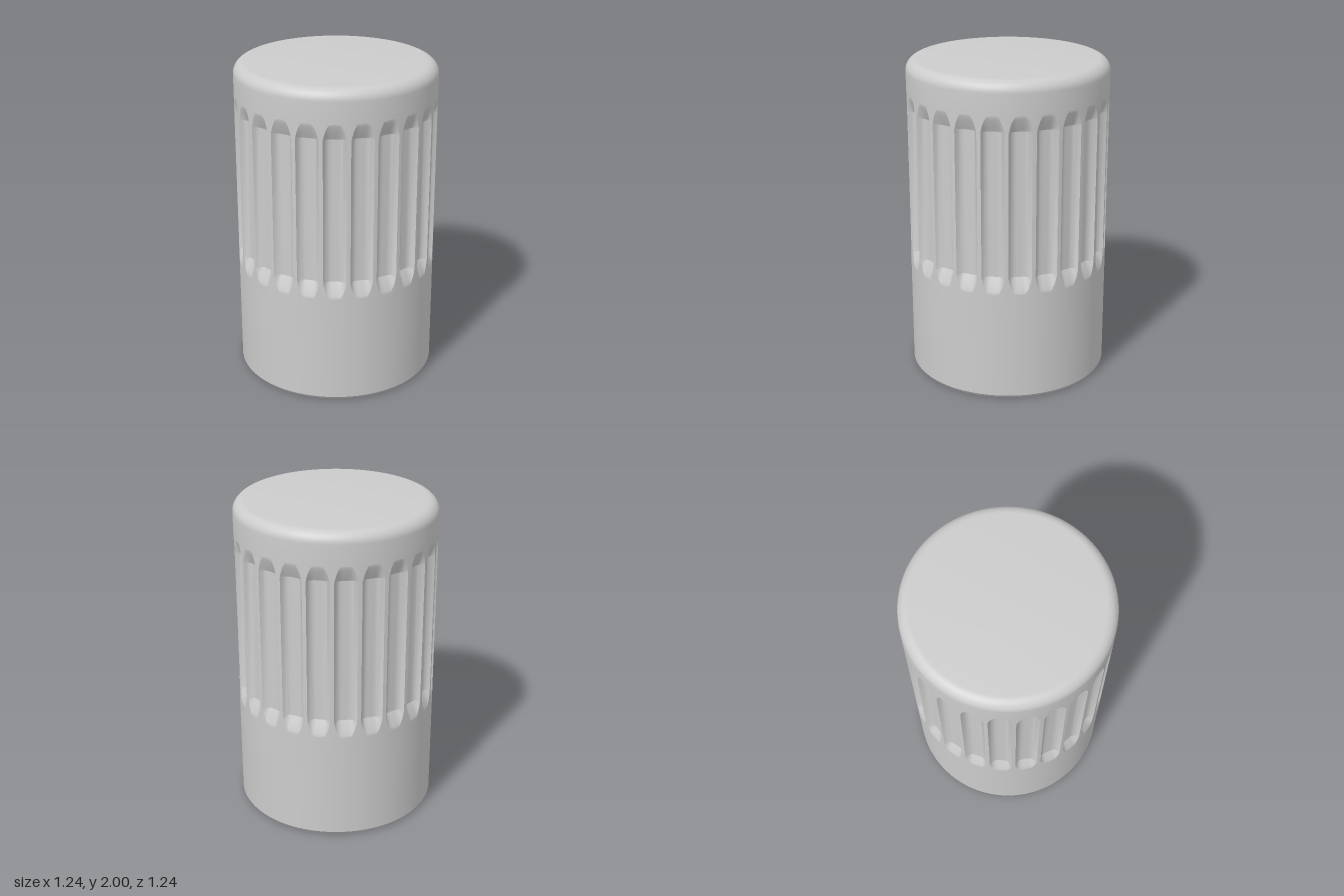
import * as THREE from 'three';
import { toCreasedNormals } from 'three/addons/utils/BufferGeometryUtils.js';

const R = 0.62;          // outer radius
const FLUTES = 24;
const DEPTH = 0.04;      // flute depth
const Y0 = 0.7, Y1 = 1.8; // ends of the fluted band
const RUNOUT = 0.1;      // height of the sloped flute ends
const SEGMENTS = 192;

const material = new THREE.MeshStandardMaterial({ color: 0xcccccc });

function addMesh(group, name, geometry) {
  const mesh = new THREE.Mesh(toCreasedNormals(geometry, 0.32), material);
  mesh.name = name;
  group.add(mesh);
}

function lathe(points) {
  return new THREE.LatheGeometry(points.map(([x, y]) => new THREE.Vector2(x, y)), SEGMENTS);
}

// Band of flat-bottomed, round-sided grooves that run out at both ends
function flutedBand() {
  const pitch = (2 * Math.PI) / FLUTES;
  const halfFlute = pitch / 2 - 0.012 / R;
  const LAND = 3, CUT = 20, RUN = 14;

  // Rows of [height, how far the groove is lifted out of the wall]
  const rows = [];
  for (let i = 0; i <= RUN; i++) {
    const t = (i / RUN) ** 2;
    rows.push([Y0 + RUNOUT * t, DEPTH * (1 - t ** 1.2)]);
  }
  const upper = rows.map(([y, lift]) => [Y0 + Y1 - y, lift]).reverse();
  rows.push(...upper);

  const positions = [], index = [];
  const columns = FLUTES * (2 * LAND + CUT);
  for (const [y, lift] of rows) {
    // The groove narrows as it rises out of the wall
    const w = Math.max(0.3, (1 - lift / DEPTH) ** 0.25);
    for (let f = 0; f < FLUTES; f++) {
      const centre = (f + 0.5) * pitch;
      const edge = w * halfFlute;
      const put = (angle, r) => positions.push(r * Math.sin(angle), y, r * Math.cos(angle));
      for (let k = 0; k < LAND; k++) {
        put(centre - pitch / 2 + (k / LAND) * (pitch / 2 - edge), R);
      }
      for (let k = 0; k <= CUT; k++) {
        const s = Math.sin((k / CUT - 0.5) * Math.PI);
        const u = w * s;
        const cut = Math.max(0, DEPTH * (1 - u ** 4) - lift);
        put(centre + u * halfFlute, R - cut);
      }
      for (let k = 1; k < LAND; k++) {
        put(centre + edge + (k / LAND) * (pitch / 2 - edge), R);
      }
    }
  }
  for (let i = 0; i < rows.length - 1; i++) {
    for (let j = 0; j < columns; j++) {
      const n = (j + 1) % columns;
      const a = i * columns + j, b = i * columns + n;
      const c = a + columns, d = b + columns;
      index.push(a, b, d, a, d, c);
    }
  }
  const geometry = new THREE.BufferGeometry();
  geometry.setAttribute('position', new THREE.Float32BufferAttribute(positions, 3));
  geometry.setIndex(index);
  return geometry;
}

export function createModel() {
  const group = new THREE.Group();
  group.name = 'knob';

  // Plain lower body with chamfered foot and a stepped blind bore
  addMesh(group, 'lowerBody', lathe([
    [0, 0.8], [0.1, 0.8], [0.1, 0.08], [0.157, 0.08], [0.157, 0],
    [R - 0.015, 0], [R, 0.02], [R, Y0],
  ]));

  addMesh(group, 'flutedGrip', flutedBand());

  // Cap with rounded rim
  const fillet = 0.07;
  const cap = [[R, Y1]];
  for (let i = 0; i <= 10; i++) {
    const a = (i / 10) * Math.PI / 2;
    cap.push([R - fillet + fillet * Math.cos(a), 2 - fillet + fillet * Math.sin(a)]);
  }
  cap.push([0, 2]);
  addMesh(group, 'cap', lathe(cap));

  return group;
}
